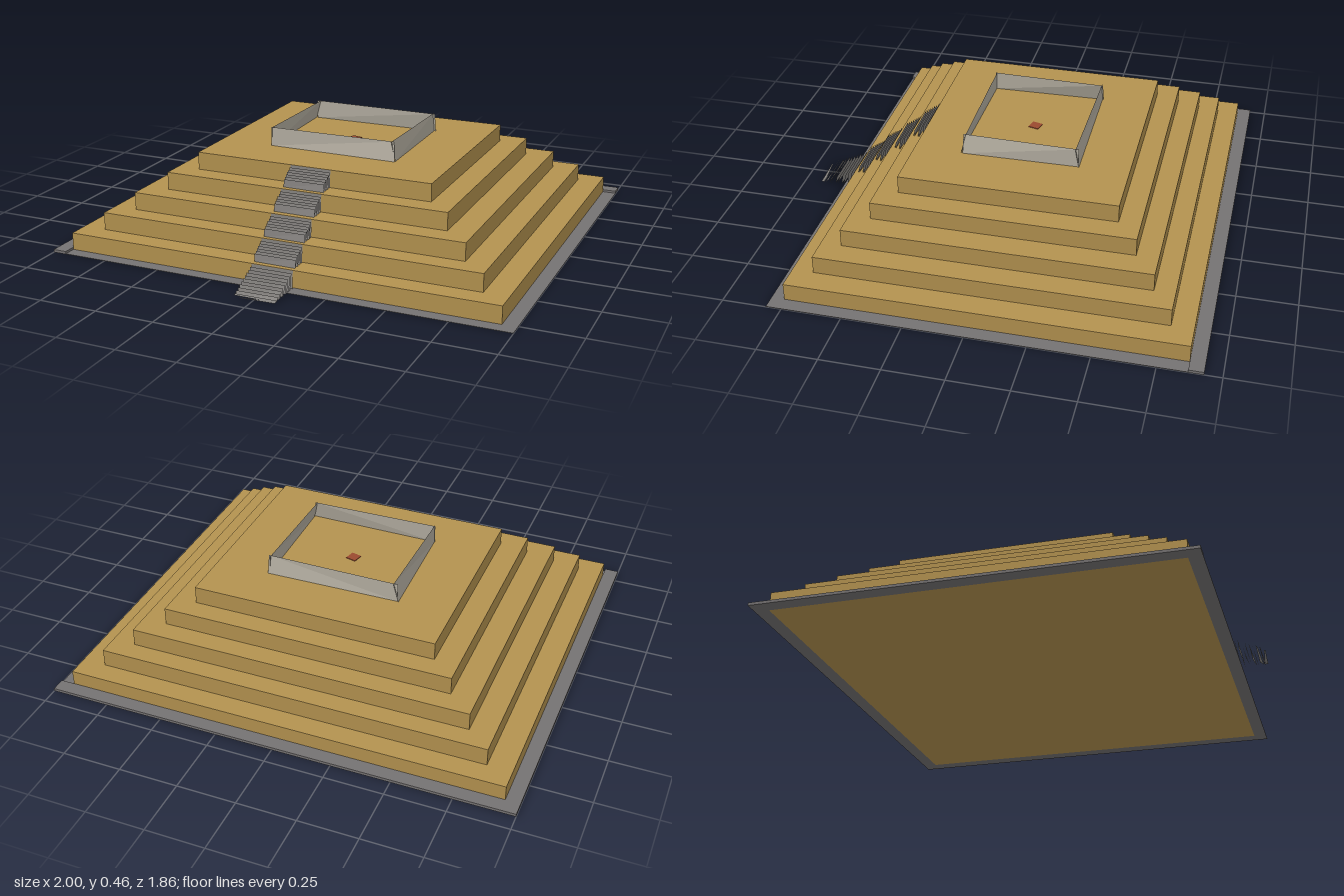
import * as THREE from 'three';

const mat = (color) => new THREE.MeshStandardMaterial({ color, flatShading: true, side: THREE.DoubleSide });
const earth = mat(0xb3924f), paving = mat(0x757272), stone = mat(0xb3ada0), stepStone = mat(0x85827f), clay = mat(0x9a4a30);

// Box given by its limits on each axis
function box(name, material, x0, x1, y0, y1, z0, z1) {
  const mesh = new THREE.Mesh(new THREE.BoxGeometry(x1 - x0, y1 - y0, z1 - z0), material);
  mesh.position.set((x0 + x1) / 2, (y0 + y1) / 2, (z0 + z1) / 2);
  mesh.name = name;
  return mesh;
}

// Thin four-cornered panel, corners in order
function panel(name, material, corners) {
  const geometry = new THREE.BufferGeometry();
  geometry.setAttribute('position', new THREE.Float32BufferAttribute(corners.flat(), 3));
  geometry.setIndex([0, 1, 2, 0, 2, 3]);
  geometry.computeVertexNormals();
  const mesh = new THREE.Mesh(geometry, material);
  mesh.name = name;
  return mesh;
}

export function createModel() {
  const model = new THREE.Group();
  model.name = 'steppedPlatform';

  // Paved border: raised on the back and right, flush on the other two sides
  const border = new THREE.Group();
  border.name = 'pavedBorder';
  border.add(
    box('backBorder', paving, -1, 1, 0, 0.012, -0.93, -0.87),
    box('rightBorder', paving, -1, -0.94, 0, 0.012, -0.87, 0.815),
    box('frontBorder', paving, -0.94, 1, 0, 0.002, 0.76, 0.815),
    box('leftBorder', paving, 0.94, 1, 0, 0.002, -0.87, 0.76),
  );
  model.add(border);

  // Five stacked tiers: half width, back z, front z
  const rise = 0.076;
  const tiers = [
    [0.94, -0.87, 0.76], [0.837, -0.78, 0.67], [0.735, -0.695, 0.583],
    [0.628, -0.605, 0.49], [0.527, -0.515, 0.4],
  ];
  tiers.forEach(([w, back, front], i) => {
    model.add(box('tier' + (i + 1), earth, -w, w, i * rise, (i + 1) * rise, back, front));
  });

  // Stairs: a flight of thin leaning risers against each tier
  const stairs = new THREE.Group();
  stairs.name = 'stairs';
  tiers.forEach(([, , front], i) => {
    const count = i === 0 ? 11 : 7;
    const run = i === 0 ? 0.145 : 0.062;
    for (let k = 0; k < count; k++) {
      const t = k / (count - 1);
      const z = front + 0.004 + run * (1 - t);
      const bottom = i * rise + 0.001;
      const top = bottom + rise * (i === 0 ? 0.08 + 0.9 * t : 0.42 + 0.56 * t);
      const lean = 0.004 + 0.004 * (k % 2);
      stairs.add(panel('riser', stepStone, [
        [-0.09, bottom, z + lean], [0.09, bottom, z + lean * 1.5],
        [0.09, top, z - lean * 0.4], [-0.09, top, z],
      ]));
    }
  });
  // Lowest slab lying on the ground
  stairs.add(panel('footSlab', stepStone, [
    [-0.06, 0.002, 0.93], [0.09, 0.002, 0.925], [0.09, 0.002, 0.91], [-0.06, 0.002, 0.925],
  ]));
  model.add(stairs);

  // Low enclosure of thin, slightly uneven walls on the summit
  const y0 = tiers.length * rise, y1 = 0.462;
  const enclosure = new THREE.Group();
  enclosure.name = 'enclosure';
  enclosure.add(
    panel('rightWall', stone, [[-0.283, y0, 0.19], [-0.295, y0, -0.302], [-0.272, y1, -0.302], [-0.281, y1, 0.19]]),
    panel('leftWall', stone, [[0.29, y0, 0.19], [0.283, y0, -0.302], [0.28, y1, -0.302], [0.27, y1, 0.19]]),
    panel('backWall', stone, [[-0.29, y0, -0.298], [0.29, y0, -0.305], [0.29, y1, -0.289], [-0.29, y1, -0.296]]),
    panel('frontWall', stone, [[-0.285, y0, 0.188], [0.29, y0, 0.197], [0.28, y1, 0.18], [-0.285, y1, 0.186]]),
  );
  model.add(enclosure);

  // Small clay hearth slab in the middle
  const hearth = box('hearth', clay, -0.023, 0.023, y0, y0 + 0.003, -0.08, -0.034);
  hearth.rotation.y = -0.25;
  model.add(hearth);

  return model;
}
